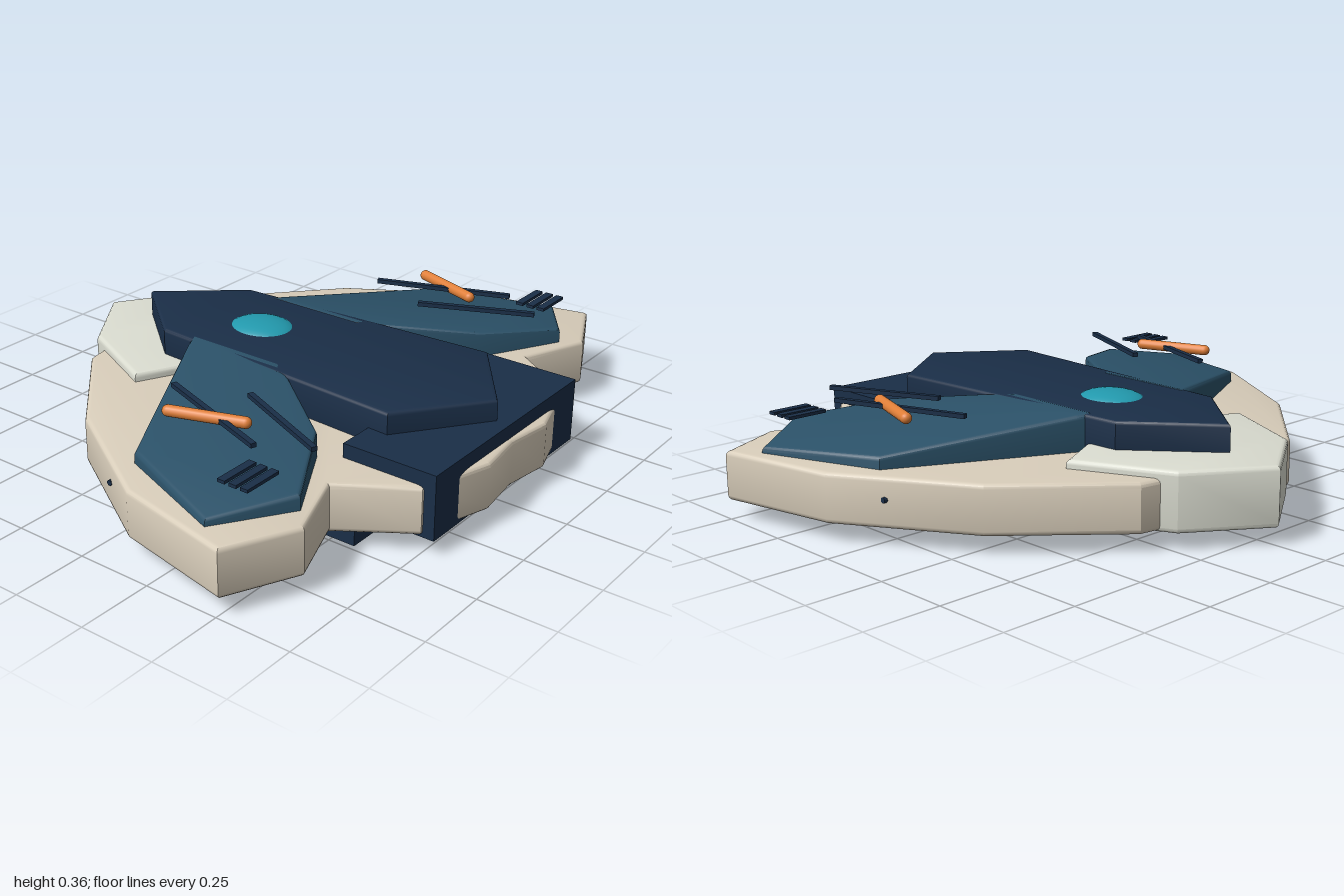
import * as THREE from 'three';
import { toCreasedNormals } from 'three/addons/utils/BufferGeometryUtils.js';

const mat = (color) => new THREE.MeshStandardMaterial({ color });
const CREAM = mat(0xd8cdba), PALE = mat(0xdadcd0), NAVY = mat(0x1a2e47);
const BLUE = mat(0x2b5168), TEAL = mat(0x2299ad), ORANGE = mat(0xe07f38);

// Bevelled plate from a plan outline of [x, z] points, between two heights
function plate(points, y0, y1, bevel, rule) {
  const shape = new THREE.Shape(points.map(([x, z]) => new THREE.Vector2(x, -z)));
  const geo = new THREE.ExtrudeGeometry(shape, {
    depth: y1 - y0 - 2 * bevel, bevelEnabled: true, bevelThickness: bevel,
    bevelSize: bevel, bevelOffset: -bevel, bevelSegments: 3,
  });
  geo.rotateX(-Math.PI / 2).translate(0, y0 + bevel, 0);
  if (rule) {
    const p = geo.attributes.position;
    for (let i = 0; i < p.count; i++) p.setY(i, p.getY(i) + rule(p.getX(i)));
  }
  return toCreasedNormals(geo, 0.55);
}

// Completes a right-hand outline with its mirror image, skipping centre points
const mirrored = (half) => [
  ...half,
  ...half.filter(([x]) => x > 0).reverse().map(([x, z]) => [-x, z]),
];

export function createModel() {
  const root = new THREE.Group();
  const add = (name, geo, material, parent = root) => {
    const mesh = new THREE.Mesh(geo, material);
    mesh.name = name;
    parent.add(mesh);
    return mesh;
  };
  const box = (name, w, h, d, x, y, z, material, parent) => {
    const mesh = add(name, new THREE.BoxGeometry(w, h, d), material, parent);
    mesh.position.set(x, y, z);
    return mesh;
  };

  // Hull, nose and raised spine
  add('hull', plate(mirrored([
    [0, -0.66], [0.34, -0.6], [0.67, -0.3], [0.92, 0.11], [1, 0.51], [0.77, 0.62],
    [0.545, 0.535], [0.4, 0.75], [0.16, 0.825], [0, 0.803],
  ]), 0.058, 0.216, 0.016), CREAM);
  add('nose', plate(mirrored([
    [0, -0.83], [0.25, -0.66], [0.395, -0.35], [0.2, -0.25],
  ]), 0.053, 0.244, 0.016), PALE);
  add('spine', plate(mirrored([
    [0, -0.64], [0.22, -0.38], [0.275, 0.54], [0, 0.745],
  ]), 0.2, 0.332, 0.012), NAVY);

  // Canopy
  const canopy = add('canopy', new THREE.SphereGeometry(1, 32, 16), TEAL);
  canopy.scale.set(0.1, 0.035, 0.115);
  canopy.position.set(0, 0.317, -0.15);

  // Engine block at the stern
  box('engineBlock', 0.79, 0.21, 0.32, 0, 0.157, 0.63, NAVY);

  for (const s of [1, -1]) {
    const side = new THREE.Group();
    side.name = s > 0 ? 'leftSide' : 'rightSide';
    root.add(side);

    // Sloping wing panel, thick enough for its tip to show under the hull
    const outline = [
      [0.2, -0.27], [0.25, -0.25], [0.79, 0.02], [0.935, 0.41], [0.71, 0.56],
      [0.44, 0.41], [0.26, 0.17], [0.2, 0.08],
    ].map(([x, z]) => [s * x, z]);
    add('wingPanel', plate(outline, 0.135, 0.326, 0.014,
      (x) => -0.136 * (Math.abs(x) - 0.27)), BLUE, side);

    // Thin bars floating over the wing
    for (const [x0, z0, x1, z1] of [[0.528, -0.06, 0.683, 0.375], [0.442, 0.165, 0.597, 0.52]]) {
      const bar = box('wingBar', 0.018, 0.014, Math.hypot(x1 - x0, z1 - z0),
        s * (x0 + x1) / 2, 0.344, (z0 + z1) / 2, NAVY, side);
      bar.rotation.y = s * Math.atan2(x1 - x0, z1 - z0);
    }

    // Orange rod, crossing the bars' direction
    const rod = add('wingRod', new THREE.CapsuleGeometry(0.018, 0.24, 6, 16), ORANGE, side);
    rod.rotation.set(Math.PI / 2, 0, s * 0.33);
    rod.position.set(s * 0.63, 0.345, 0.158);

    // Vent slats near the wing tip
    for (let i = 0; i < 3; i++) {
      box('ventSlat', 0.135, 0.01, 0.026, s * 0.782, 0.312, 0.397 + i * 0.04, NAVY, side);
    }

    // Landing skid
    box('skid', 0.1, 0.07, 0.66, s * 0.433, 0.035, 0.248, NAVY, side);

    // Underslung thruster with a dark collar and an orange rim
    const tube = add('thruster', new THREE.CylinderGeometry(0.078, 0.078, 0.42, 32), CREAM, side);
    tube.rotation.x = Math.PI / 2;
    tube.position.set(s * 0.267, 0.115, 0.48);
    const collar = add('thrusterCollar', new THREE.CylinderGeometry(0.086, 0.086, 0.035, 32), NAVY, side);
    collar.rotation.x = Math.PI / 2;
    collar.position.set(s * 0.267, 0.115, 0.35);
    const rim = add('thrusterRim', new THREE.TorusGeometry(0.08, 0.016, 12, 40), ORANGE, side);
    rim.position.set(s * 0.267, 0.115, 0.69);

    // Small port on the hull edge
    const port = add('sidePort', new THREE.CylinderGeometry(0.009, 0.009, 0.04, 12), NAVY, side);
    port.rotation.z = Math.PI / 2;
    port.position.set(s * 0.812, 0.147, -0.045);
  }
  return root;
}
